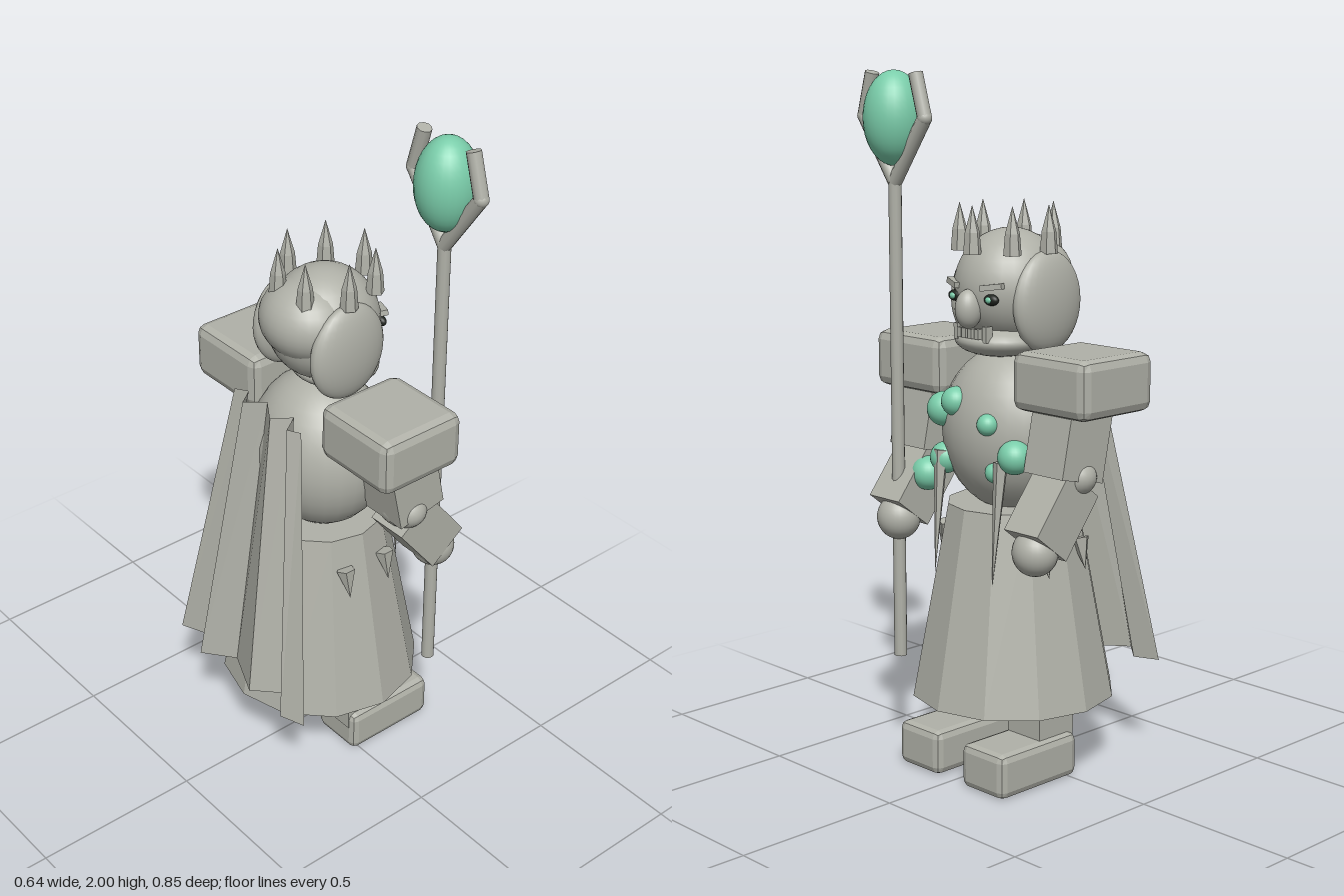
import * as THREE from 'three';
import { RoundedBoxGeometry } from 'three/addons/geometries/RoundedBoxGeometry.js';

export function createModel() {
  const root = new THREE.Group();
  const mat = (name, color, side = THREE.FrontSide) => {
    const m = new THREE.MeshStandardMaterial({ color, side });
    m.name = name;
    return m;
  };
  const stone = mat('stone grey', 0xb0b1a8);
  const cloth = mat('cape grey', 0xb0b1a8, THREE.DoubleSide);
  const teal = mat('crystal teal', 0x7acdaa);
  const dark = mat('eye dark', 0x20241f);

  const V = (x, y, z) => new THREE.Vector3(x, y, z);
  const add = (name, geo, x = 0, y = 0, z = 0, m = stone) => {
    const mesh = new THREE.Mesh(geo, m);
    mesh.name = name;
    mesh.position.set(x, y, z);
    root.add(mesh);
    return mesh;
  };
  const flat = (geo) => {
    const g = geo.index ? geo.toNonIndexed() : geo;
    g.computeVertexNormals();
    return g;
  };
  const blob = (name, x, y, z, rx, ry, rz, m = stone) => {
    const s = add(name, new THREE.SphereGeometry(1, 28, 18), x, y, z, m);
    s.scale.set(rx, ry, rz);
    return s;
  };
  const bevelBox = (w, h, d, r) => flat(new RoundedBoxGeometry(w, h, d, 1, r));
  const up = V(0, 1, 0);
  // Place a y-aligned geometry between two points
  const between = (name, a, b, makeGeo) => {
    const dir = b.clone().sub(a);
    const c = a.clone().add(b).multiplyScalar(0.5);
    const m = add(name, makeGeo(dir.length()), c.x, c.y, c.z);
    m.quaternion.setFromUnitVectors(up, dir.normalize());
    return m;
  };

  // Robe and torso
  const skirt = flat(new THREE.CylinderGeometry(0.19, 0.297, 0.565, 12));
  add('skirt', skirt, 0.02, 0.505, 0);
  blob('torso', 0.02, 1.0, 0, 0.193, 0.24, 0.215);

  // Head, hair and jaw
  blob('head', 0.03, 1.405, 0, 0.162, 0.165, 0.155);
  blob('backHair', -0.03, 1.435, 0, 0.128, 0.115, 0.14);
  blob('jaw', 0.07, 1.26, 0, 0.125, 0.048, 0.13);
  blob('nose', 0.19, 1.355, 0, 0.04, 0.055, 0.036);
  for (let i = 0; i < 6; i++) {
    const z = (i - 2.5) * 0.023;
    add('tooth', new THREE.BoxGeometry(0.025, i === 0 || i === 5 ? 0.045 : 0.028, 0.015),
      0.187 - z * z * 4, 1.288, z);
  }

  // Crown spikes
  const spike = flat(new THREE.LatheGeometry(
    [[0, 0], [0.026, 0], [0.021, 0.06], [0, 0.135]].map(([r, y]) => new THREE.Vector2(r, y)), 6));
  for (let i = 0; i < 7; i++) {
    const a = (i / 7) * Math.PI * 2;
    add('crownSpike', spike, 0.04 + 0.135 * Math.cos(a), 1.505, 0.135 * Math.sin(a));
  }

  // Mirrored parts
  for (const s of [1, -1]) {
    blob('sideHair', 0.01, 1.37, s * 0.125, 0.125, 0.143, 0.047);
    blob('eyeSocket', 0.172, 1.385, s * 0.072, 0.014, 0.016, 0.026, dark);
    blob('iris', 0.182, 1.385, s * 0.072, 0.008, 0.009, 0.012, teal);
    const brow = add('brow', new THREE.BoxGeometry(0.025, 0.016, 0.065), 0.172, 1.42, s * 0.075);
    brow.rotation.set(-s * 0.15, -s * 0.4, 0);

    add('shoulderPad', bevelBox(0.277, 0.165, 0.28, 0.028), 0.033, 1.17, s * 0.284);
    between('upperArm', V(0.1, 0.91, s * 0.278), V(0.05, 1.15, s * 0.278),
      (l) => new THREE.BoxGeometry(0.16, l, 0.148));
    blob('elbow', 0.08, 0.915, s * 0.285, 0.063, 0.06, 0.083);
    between('forearm', V(0.21, 0.74, s * 0.281), V(0.085, 0.9, s * 0.281),
      (l) => new THREE.BoxGeometry(0.14, l, 0.128));
    blob('hand', 0.21, 0.72, s * 0.281, 0.063, 0.066, 0.065);

    add('leg', new THREE.BoxGeometry(0.135, 0.26, 0.126), 0.038, 0.21, s * 0.133);
    add('foot', bevelBox(0.302, 0.13, 0.17, 0.022), 0.124, 0.065, s * 0.133);

    // Pointed strips hanging from the waist
    between('frontTassel', V(0.217, 0.58, s * 0.118), V(0.185, 0.94, s * 0.122),
      (l) => flat(new THREE.ConeGeometry(0.022, l, 5).rotateX(Math.PI)));
    for (const x of [-0.05, 0.095]) {
      between('sideTassel', V(x, 0.61, s * 0.222), V(x, 0.7, s * 0.2),
        (l) => flat(new THREE.ConeGeometry(0.028, l, 5).rotateX(Math.PI)));
    }

    // Staff prongs
    const p = [V(0.21, 1.69, 0.28), V(0.21, 1.87, 0.28 + s * 0.128), V(0.21, 1.992, 0.28 + s * 0.092)];
    for (let i = 0; i < 2; i++) {
      between('staffProng', p[i], p[i + 1], (l) => new THREE.CylinderGeometry(0.021, 0.021, l, 10));
    }
    blob('prongBend', 0.21, 1.87, 0.28 + s * 0.128, 0.021, 0.021, 0.021);
  }

  // Staff and orb
  add('staffShaft', new THREE.CylinderGeometry(0.019, 0.019, 1.4, 12), 0.21, 1.0, 0.28);
  blob('staffOrb', 0.21, 1.867, 0.28, 0.089, 0.133, 0.087, teal);

  // Crystals on the chest: x, y, z, radius
  const gems = [
    [0.165, 1.055, 0.13, 0.05], [0.18, 1.087, 0.065, 0.042], [0.19, 1.04, -0.075, 0.031],
    [0.16, 0.955, -0.15, 0.048], [0.16, 0.913, 0.13, 0.046], [0.155, 0.853, 0.212, 0.05],
    [0.175, 0.905, -0.09, 0.03],
  ];
  for (const [x, y, z, r] of gems) blob('chestCrystal', x, y, z, r, r, r, teal);

  // Folded cape: bottom edge as x, z; top edge is narrower and closer to the back
  const hem = [[-0.285, -0.297], [-0.255, -0.225], [-0.32, -0.155], [-0.25, -0.065],
    [-0.312, 0.075], [-0.24, 0.15], [-0.312, 0.222], [-0.285, 0.297]];
  const pos = [];
  for (let i = 0; i < hem.length - 1; i++) {
    const low = (k) => [hem[k][0], 0.305, hem[k][1]];
    const top = (k) => [-0.17 + (hem[k][0] + 0.285) * 0.75, 1.19, hem[k][1] * 0.5];
    pos.push(...low(i), ...low(i + 1), ...top(i + 1), ...low(i), ...top(i + 1), ...top(i));
  }
  const cape = new THREE.BufferGeometry();
  cape.setAttribute('position', new THREE.Float32BufferAttribute(pos, 3));
  cape.computeVertexNormals();
  add('cape', cape, 0, 0, 0, cloth);

  return root;
}
